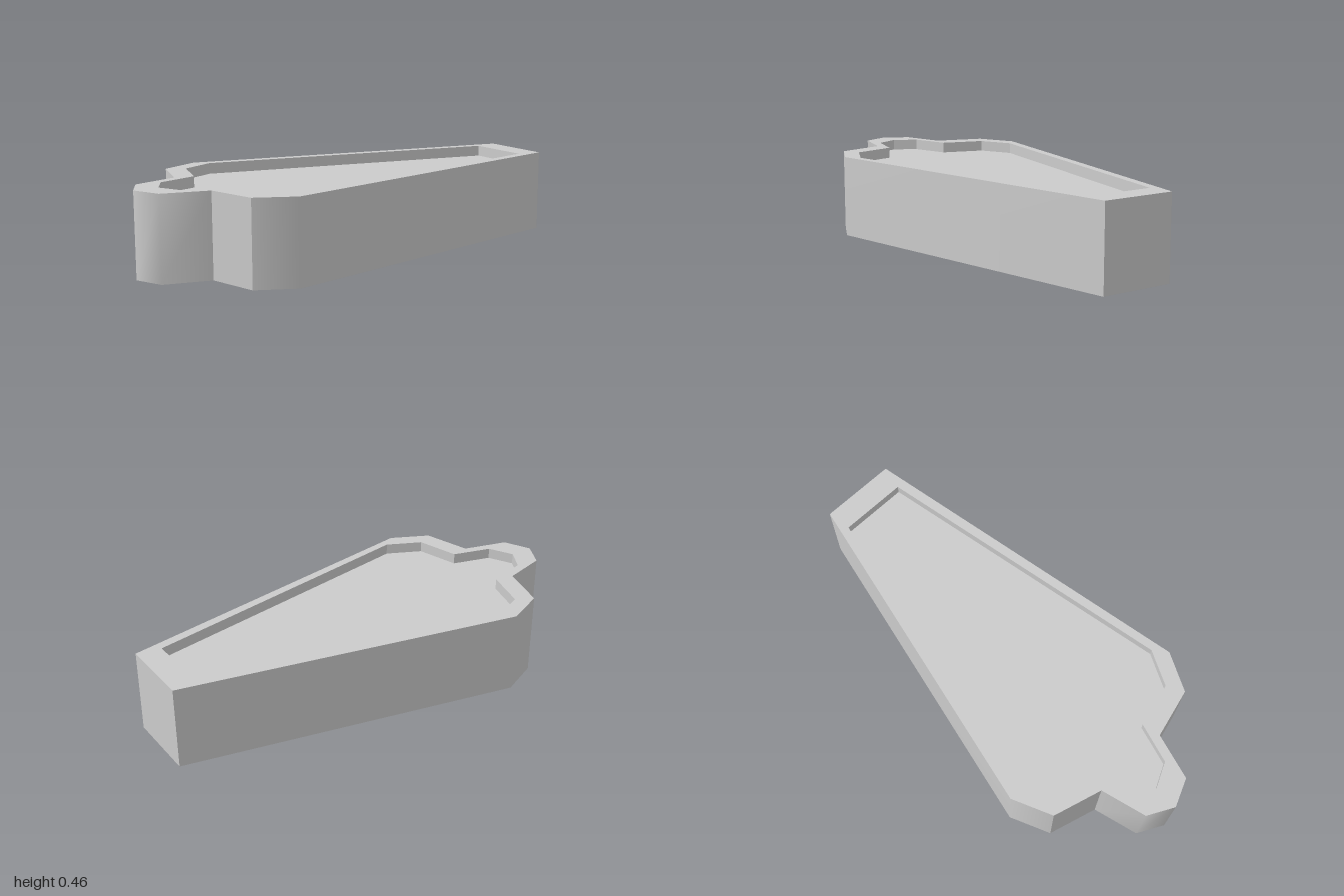
import * as THREE from 'three';

const HEIGHT = 0.455, FLOOR = 0.395;

// Outline corners [x, z, smooth]; smooth corners are shaded as rounded
const OUTER = [
  [0.65, -1, 0], [0.955, -0.72, 0], [-0.035, 0.9, 1], [-0.25, 0.987, 0],
  [-0.497, 0.86, 0], [-0.715, 1, 1], [-0.87, 0.95, 1], [-0.925, 0.8, 1],
  [-0.81, 0.57, 0], [-0.957, 0.335, 0], [-0.885, 0.11, 1],
];
const INNER = [
  [0.575, -0.887, 0], [0.845, -0.64, 0], [-0.03, 0.805, 0], [-0.225, 0.885, 0],
  [-0.445, 0.77, 0], [-0.635, 0.89, 0], [-0.78, 0.85, 0], [-0.825, 0.715, 0],
  [-0.725, 0.51, 0], [-0.855, 0.3, 0], [-0.793, 0.105, 0],
];

const material = new THREE.MeshStandardMaterial({ color: 0xcccccc });

function addMesh(group, name, geometry) {
  const mesh = new THREE.Mesh(geometry, material);
  mesh.name = name;
  group.add(mesh);
}

// Vertical strip along a run of corners, smooth within the run
function strip(run, y0, y1) {
  const positions = [], index = [];
  run.forEach(([x, z], i) => {
    positions.push(x, y0, z, x, y1, z);
    const a = i * 2;
    if (i > 0) index.push(a - 2, a - 1, a, a - 1, a + 1, a);
  });
  const geometry = new THREE.BufferGeometry();
  geometry.setAttribute('position', new THREE.Float32BufferAttribute(positions, 3));
  geometry.setIndex(index);
  geometry.computeVertexNormals();
  return geometry;
}

// Closed wall, split into separate strips at every hard corner
function wall(name, corners, y0, y1) {
  const group = new THREE.Group();
  group.name = name;
  let run = [corners[0]];
  [...corners.slice(1), corners[0]].forEach((corner) => {
    run.push(corner);
    if (!corner[2]) {
      addMesh(group, name + 'Side', strip(run, y0, y1));
      run = [corner];
    }
  });
  return group;
}

// Horizontal face at height y, facing up (1) or down (-1)
function flat(corners, y, facing, hole) {
  const points = (list) => list.map(([x, z]) => new THREE.Vector2(x, -facing * z));
  const shape = new THREE.Shape(points(corners));
  if (hole) shape.holes.push(new THREE.Path(points(hole)));
  return new THREE.ShapeGeometry(shape).rotateX(-facing * Math.PI / 2).translate(0, y, 0);
}

export function createModel() {
  const model = new THREE.Group();
  model.name = 'recessedBlock';
  model.add(wall('outerWall', OUTER, 0, HEIGHT));
  // Reversed order turns the recess wall inward
  model.add(wall('recessWall', [...INNER].reverse(), FLOOR, HEIGHT));
  addMesh(model, 'rim', flat(OUTER, HEIGHT, 1, INNER));
  addMesh(model, 'recessFloor', flat(INNER, FLOOR, 1));
  addMesh(model, 'base', flat(OUTER, 0, -1));
  return model;
}
